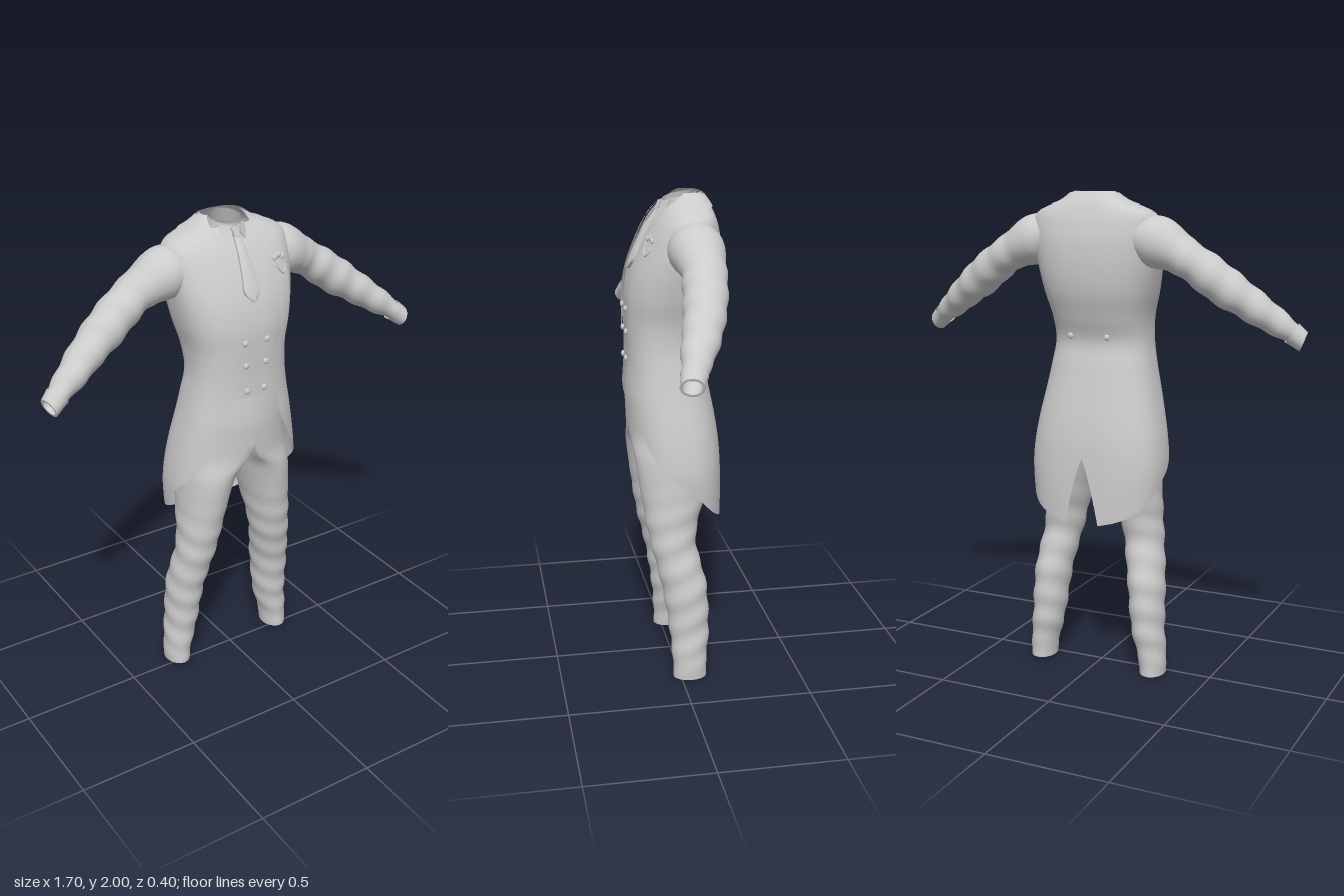
import * as THREE from 'three';
import { toCreasedNormals } from 'three/addons/utils/BufferGeometryUtils.js';

const material = new THREE.MeshStandardMaterial({ color: 0xcccccc, side: THREE.DoubleSide });
const V = (x, y, z) => new THREE.Vector3(x, y, z);

// Smooth interpolation of rows [key, a, b, ...] by their first column
function curve(rows) {
  const slope = (i, c) => {
    const a = rows[Math.max(i - 1, 0)], b = rows[Math.min(i + 1, rows.length - 1)];
    return (b[c] - a[c]) / (b[0] - a[0]);
  };
  return (k) => {
    let i = 0;
    while (i < rows.length - 2 && k > rows[i + 1][0]) i++;
    const p = rows[i], q = rows[i + 1], h = q[0] - p[0];
    const t = THREE.MathUtils.clamp((k - p[0]) / h, 0, 1), t2 = t * t, t3 = t2 * t;
    return p.slice(1).map((_, j) => {
      const c = j + 1;
      return (2 * t3 - 3 * t2 + 1) * p[c] + (t3 - 2 * t2 + t) * h * slope(i, c)
        + (3 * t2 - 2 * t3) * q[c] + (t3 - t2) * h * slope(i + 1, c);
    });
  };
}

// Surface through point(u, v)
function grid(nu, nv, point, flip = false) {
  const pos = [], index = [];
  for (let j = 0; j <= nv; j++) for (let i = 0; i <= nu; i++) pos.push(...point(i / nu, j / nv).toArray());
  for (let j = 0; j < nv; j++) for (let i = 0; i < nu; i++) {
    const a = j * (nu + 1) + i, b = a + 1, d = a + nu + 1, c = d + 1;
    if (flip) index.push(a, c, b, a, d, c);
    else index.push(a, b, c, a, c, d);
  }
  const g = new THREE.BufferGeometry();
  g.setAttribute('position', new THREE.Float32BufferAttribute(pos, 3));
  g.setIndex(index);
  g.computeVertexNormals();
  return g;
}

// Torso section by height: y, half width, front z, back z
const body = curve([
  [0.66, 0.27, 0.16, -0.2], [0.8, 0.285, 0.17, -0.2], [0.9, 0.29, 0.18, -0.197], [1.0, 0.28, 0.187, -0.19],
  [1.1, 0.262, 0.192, -0.175], [1.2, 0.24, 0.196, -0.155], [1.3, 0.22, 0.19, -0.135], [1.4, 0.205, 0.188, -0.118],
  [1.5, 0.21, 0.19, -0.15], [1.6, 0.235, 0.188, -0.182], [1.7, 0.255, 0.168, -0.195], [1.8, 0.268, 0.128, -0.193],
  [1.88, 0.268, 0.085, -0.178], [1.92, 0.245, 0.055, -0.165], [1.945, 0.19, 0.035, -0.155],
  [1.965, 0.135, 0.015, -0.145], [2.0, 0.085, -0.02, -0.12]]);

// Point on the torso; deg runs from centre back (0) to centre front (180)
function onBody(y, deg, off, s = 1) {
  const [w, zf, zb] = body(y), a = THREE.MathUtils.degToRad(deg);
  const mid = (zf + zb) / 2, depth = (zf - zb) / 2 + off, c = -Math.cos(a);
  return V(s * (w + off) * Math.abs(Math.sin(a)) ** 0.8, y, mid + depth * Math.sign(c) * Math.abs(c) ** 0.8);
}

const buttonGeometry = new THREE.SphereGeometry(0.013, 14, 10);
buttonGeometry.scale(1, 1, 0.6);

export function createModel() {
  const group = new THREE.Group();
  const add = (name, geometry) => {
    const m = new THREE.Mesh(geometry, material);
    m.name = name;
    group.add(m);
    return m;
  };
  // Mirrored cloth panel between two edge curves (degrees by height)
  const panel = (name, y0, y1, lo, hi, off, nu = 30, nv = 50) => {
    for (const s of [1, -1]) {
      add(name, grid(nu, nv, (u, v) => {
        const y = THREE.MathUtils.lerp(y0, y1, v);
        const a = Math.max(0, lo(y)[0]), b = Math.min(180, hi(y)[0]);
        return onBody(y, THREE.MathUtils.lerp(a, b, u), off, s);
      }, s > 0));
    }
  };
  const fixed = (d) => () => [d];

  // Tailcoat: cutaway front edge and back vent
  const frontEdge = curve([
    [0.66, 13], [0.68, 30], [0.72, 53], [0.8, 78], [0.9, 101], [1.0, 126], [1.1, 141], [1.2, 154], [1.3, 155],
    [1.4, 156], [1.6, 157], [1.7, 158], [1.8, 159], [1.9, 160], [1.95, 152], [2.0, 118]]);
  const vent = (y) => [Math.max(0, (0.93 - y) / 0.27) * 11];
  panel('tailcoat', 0.66, 2.0, vent, frontEdge, 0, 36, 110);

  // Lapels and turned collar
  const lapelEdge = curve([[1.42, 155], [1.5, 144], [1.65, 139], [1.85, 141], [1.9, 142], [1.93, 138]]);
  panel('lapel', 1.42, 1.885, lapelEdge, frontEdge, 0.008, 8, 40);
  panel('coatCollar', 1.95, 1.995, fixed(0), (y) => [frontEdge(y)[0] - 3], 0.008, 30, 8);
  panel('upperLapel', 1.895, 1.965, curve([[1.895, 143], [1.93, 136], [1.965, 115]]), frontEdge, 0.009, 8, 10);

  // Waistcoat with a V neck over the shirt front
  panel('waistcoat', 1.31, 1.94, fixed(110),
    curve([[1.31, 180], [1.64, 180], [1.68, 179], [1.75, 172], [1.85, 166], [1.94, 156]]), -0.005, 24, 60);
  panel('shirtFront', 1.5, 1.96, fixed(120), fixed(180), -0.013, 20, 30);

  // Trousers: each leg widens into its half of the hips
  const leg = curve([ // y, inner x, middle x, outer x, front z, back z
    [0, 0.205, 0.258, 0.31, 0.03, -0.11], [0.06, 0.198, 0.253, 0.312, 0.03, -0.11], [0.2, 0.165, 0.235, 0.302, 0.042, -0.122],
    [0.4, 0.14, 0.215, 0.295, 0.072, -0.115], [0.6, 0.1, 0.185, 0.268, 0.118, -0.075],
    [0.8, 0.055, 0.155, 0.254, 0.15, -0.12], [0.95, 0.015, 0.12, 0.246, 0.17, -0.145],
    [1.03, 0, 0.03, 0.24, 0.178, -0.15], [1.1, 0, 0, 0.235, 0.184, -0.15],
    [1.2, 0, 0, 0.222, 0.186, -0.135], [1.36, 0, 0, 0.195, 0.17, -0.1]]);
  const legPoint = (u, y, s) => {
    const [inner, mid, outer, zf, zb] = leg(y), a = u * Math.PI * 2, c = Math.cos(a);
    const fold = 0.003 * Math.sin(y * 55 + 2 * Math.sin(a)) * THREE.MathUtils.smoothstep(0.9 - y, 0, 0.3) * Math.min(1, y * 8);
    const x = mid + (c > 0 ? outer - mid : mid - inner) * c + fold * c;
    return V(s * Math.max(0, x), y, (zf + zb) / 2 + ((zf - zb) / 2 + fold) * Math.sin(a));
  };
  for (const s of [1, -1]) {
    add('trouserLeg', toCreasedNormals(grid(40, 90, (u, v) => legPoint(u, 1.36 * (1 - v), s), s < 0), 0.9));
    add('trouserHem', grid(40, 1, (u, v) => legPoint(u, 0, s).lerp(V(s * 0.258, 0, -0.04), v), s < 0));
  }

  // Sleeves and cuffs: x, y, z, radius across, radius in depth
  const sleeve = curve([
    [0.19, 1.825, -0.055, 0.085, 0.095], [0.27, 1.803, -0.055, 0.103, 0.11], [0.38, 1.752, -0.06, 0.076, 0.087],
    [0.46, 1.7, -0.05, 0.076, 0.085], [0.54, 1.64, -0.033, 0.077, 0.082], [0.62, 1.585, -0.01, 0.067, 0.075],
    [0.7, 1.527, 0.02, 0.058, 0.066], [0.77, 1.478, 0.047, 0.045, 0.051], [0.81, 1.447, 0.061, 0.038, 0.043],
    [0.836, 1.427, 0.07, 0.036, 0.041]]);
  const tube = (x0, x1, nv, swell, s) => grid(28, nv, (u, v) => {
    const x = THREE.MathUtils.lerp(x0, x1, v), [y, z, ru, rz] = sleeve(x);
    const p = sleeve(x - 0.02), q = sleeve(x + 0.02), a = u * Math.PI * 2;
    const t = V(0.04, q[0] - p[0], q[1] - p[1]).normalize();
    const side = V(0, 0, 1).addScaledVector(t, -t.z).normalize(), up = side.clone().cross(t);
    const k = swell(x, a, v);
    const point = V(x, y, z).addScaledVector(up, (ru + k) * Math.cos(a)).addScaledVector(side, (rz + k) * Math.sin(a));
    point.x *= s;
    return point;
  }, s < 0);
  for (const s of [1, -1]) {
    add('sleeve', tube(0.19, 0.8, 70, (x, a) => 0.003 * Math.sin(x * 70 + 1.5 * Math.sin(a)) * THREE.MathUtils.smoothstep(x, 0.3, 0.4), s));
    add('cuff', tube(0.79, 0.834, 6, () => 0.004, s));
    add('cuffEnd', tube(0.834, 0.8341, 1, (x, a, v) => 0.004 - 0.01 * v, s));
    add('cuffLining', tube(0.834, 0.79, 4, () => -0.006, s));
  }

  // Waistcoat buttons in two columns
  for (const [y, x] of [[1.545, 0.05], [1.45, 0.045], [1.34, 0.04]]) for (const s of [1, -1]) {
    const deg = 180 - THREE.MathUtils.radToDeg(Math.asin((x / body(y)[0]) ** 1.25));
    add('waistcoatButton', buttonGeometry).position.copy(onBody(y, deg, 0.001, s));
  }

  // Shirt collar band and folded points
  const band = add('shirtCollar', new THREE.CylinderGeometry(0.066, 0.078, 0.06, 32, 1, true));
  band.position.set(0, 1.958, -0.042);
  band.rotation.x = 0.2;
  for (const s of [1, -1]) {
    const point = new THREE.Shape([[0.004, 0.01], [0.06, 0.03], [0.062, -0.03], [0.045, -0.045]].map(([x, y]) => new THREE.Vector2(s * x, y)));
    const wing = add('collarPoint', new THREE.ExtrudeGeometry(point, { depth: 0.005, bevelEnabled: false }));
    wing.position.set(0, 1.955, 0.043);
    wing.rotation.set(-0.45, s * 0.45, 0);
  }

  // Necktie following the chest, with a knot
  const tieWidth = curve([[1.7, 0.002], [1.735, 0.033], [1.8, 0.028], [1.95, 0.013]]);
  const tie = new THREE.BoxGeometry(2, 1, 0.012, 6, 24, 1), p = tie.attributes.position;
  for (let i = 0; i < p.count; i++) {
    const y = 1.825 + p.getY(i) * 0.25, x = p.getX(i);
    p.setXYZ(i, x * tieWidth(y)[0], y, body(y)[1] + 0.006 + p.getZ(i) - 0.006 * x * x);
  }
  tie.computeVertexNormals();
  add('necktie', tie);
  const knot = add('tieKnot', new THREE.CylinderGeometry(0.023, 0.013, 0.04, 12));
  knot.position.set(0, 1.945, 0.046);
  knot.scale.z = 0.6;
  knot.rotation.x = -0.5;

  // Breast ornament: stud with a hanging chain
  const at = (x, y) => {
    const q = onBody(y, 180 - THREE.MathUtils.radToDeg(Math.asin((x / body(y)[0]) ** 1.25)), 0.012);
    return V(x, q.y, q.z);
  };
  const chain = new THREE.CatmullRomCurve3([at(0.135, 1.83), at(0.145, 1.795), at(0.165, 1.775), at(0.18, 1.79), at(0.175, 1.825)]);
  add('breastChain', new THREE.TubeGeometry(chain, 30, 0.005, 8));
  for (const [x, y] of [[0.135, 1.835], [0.175, 1.83], [0.155, 1.84]]) add('breastStud', buttonGeometry).position.copy(at(x, y));

  // Half belt at the back waist with end buttons
  panel('backTab', 1.41, 1.44, fixed(0), fixed(20), 0.009, 10, 4);
  for (const s of [1, -1]) add('backTabButton', buttonGeometry).position.copy(onBody(1.425, 17, 0.01, s));

  return group;
}
